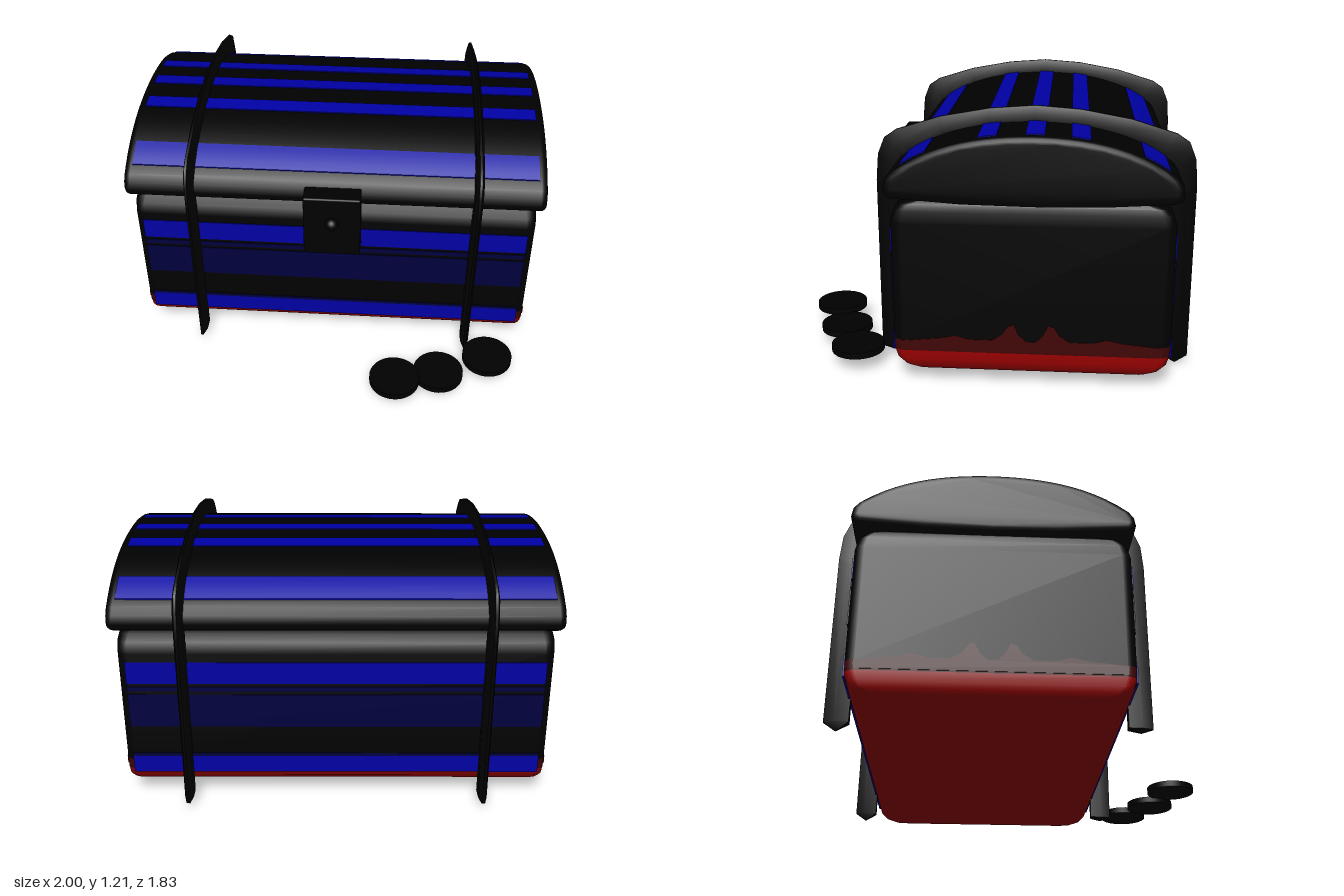
import * as THREE from 'three';
import { toCreasedNormals } from 'three/addons/utils/BufferGeometryUtils.js';
import { RoundedBoxGeometry } from 'three/addons/geometries/RoundedBoxGeometry.js';

const mat = (name, color) => new THREE.MeshStandardMaterial({ name, color });
const CZ = -0.2; // depth centre of the chest

// Stack of rounded rectangles [y, halfX, halfZ]; one material group per span of rows
function stackGeometry(rows, spans, radius) {
  const pos = [], idx = [], per = 5, n = per * 4;
  for (const [y, hx, hz] of rows) {
    for (let c = 0; c < 4; c++) {
      const sx = c === 0 || c === 3 ? 1 : -1, sz = c < 2 ? 1 : -1;
      for (let k = 0; k < per; k++) {
        const a = (c + k / (per - 1)) * Math.PI / 2;
        pos.push(sx * (hx - radius) + Math.cos(a) * radius, y, sz * (hz - radius) + Math.sin(a) * radius);
      }
    }
  }
  const g = new THREE.BufferGeometry();
  const top = rows.length - 1, bottomC = rows.length * n, topC = bottomC + 1;
  pos.push(0, rows[0][0], 0, 0, rows[top][0], 0);
  for (const [from, to, m] of spans) {
    const start = idx.length;
    if (from === 0) for (let j = 0; j < n; j++) idx.push(bottomC, j, (j + 1) % n);
    for (let i = from; i < to; i++) {
      for (let j = 0; j < n; j++) {
        const a = i * n + j, b = i * n + (j + 1) % n;
        idx.push(a, a + n, b, b, a + n, b + n);
      }
    }
    if (to === top) for (let j = 0; j < n; j++) idx.push(topC, top * n + (j + 1) % n, top * n + j);
    g.addGroup(start, idx.length - start, m);
  }
  g.setAttribute('position', new THREE.Float32BufferAttribute(pos, 3));
  g.setIndex(idx);
  return toCreasedNormals(g, 0.7);
}

// Extrudes a (depth, height) outline along x, centred
function sideExtrude(points, width, bevel = 0) {
  const g = new THREE.ExtrudeGeometry(new THREE.Shape(points.map(p => new THREE.Vector2(...p))), {
    depth: width - 2 * bevel, bevelEnabled: bevel > 0, bevelThickness: bevel,
    bevelSize: bevel, bevelOffset: -bevel, bevelSegments: 4,
  });
  g.translate(0, 0, bevel - width / 2);
  g.rotateY(-Math.PI / 2);
  return toCreasedNormals(g, 0.6);
}

// Height of the domed lid at distance u from its middle
const lidY = u => 1.14 - 0.301 * u * u - 0.463 * u ** 4;

// Strap with a tapered outer edge, swept over the chest
function strapGeometry() {
  const half = [ // inner z, y, outer z, y
    [0.405, 0.04, 0.515, 0.04], [0.405, 0.8, 0.515, 0.86], [0.4, 0.93, 0.505, 0.98],
    [0.385, 0.975, 0.475, 1.055], [0.35, 1.0, 0.42, 1.093], [0.2, 1.075, 0.22, 1.155],
    [0, 1.122, 0, 1.195], [-0.2, 1.136, -0.2, 1.21],
  ];
  const path = half.concat(half.slice(0, -1).reverse().map(([a, b, c, d]) => [2 * CZ - a, b, 2 * CZ - c, d]));
  const section = [[-0.02, 0], [-0.02, 0.55], [-0.006, 1], [0.006, 1], [0.02, 0.55], [0.02, 0]];
  const n = section.length, pos = [], idx = [];
  for (const [iz, iy, oz, oy] of path)
    for (const [x, t] of section) pos.push(x, iy + (oy - iy) * t, iz + (oz - iz) * t);
  const last = (path.length - 1) * n, tip = path.length * n;
  pos.push(0, 0.02, 0.46, 0, 0, -0.86);
  for (let i = 0; i < path.length - 1; i++) {
    for (let j = 0; j < n; j++) {
      const a = i * n + j, b = i * n + (j + 1) % n;
      idx.push(a, b, a + n, b, b + n, a + n);
    }
  }
  for (let j = 0; j < n; j++) {
    const k = (j + 1) % n;
    idx.push(tip, k, j, tip + 1, last + j, last + k);
  }
  const g = new THREE.BufferGeometry();
  g.setAttribute('position', new THREE.Float32BufferAttribute(pos, 3));
  g.setIndex(idx);
  return toCreasedNormals(g, 0.6);
}

export function createModel() {
  const model = new THREE.Group();
  const black = mat('black', 0x000000);
  const blue = mat('blue', 0x0000a4);
  const navy = mat('navy', 0x00003e);
  const red = mat('red', 0x9c0000);
  const darkRed = mat('darkRed', 0x400404);
  const strapMaterial = black.clone();
  strapMaterial.name = 'strapBlack';
  strapMaterial.side = THREE.DoubleSide;

  const add = (name, geometry, material, x = 0, y = 0, z = 0) => {
    const mesh = new THREE.Mesh(geometry, material);
    mesh.name = name;
    mesh.position.set(x, y, z);
    model.add(mesh);
    return mesh;
  };

  // Chest body with a red rounded base and a dark red edge
  const rows = [
    [0.06, 0.93, 0.46], [0.067, 0.95, 0.52], [0.085, 0.962, 0.565], [0.115, 0.968, 0.595],
    [0.158, 0.97, 0.608], [0.208, 0.97, 0.61], [0.75, 0.97, 0.61], [0.8, 0.968, 0.597],
    [0.83, 0.962, 0.57], [0.845, 0.95, 0.53],
  ];
  add('body', stackGeometry(rows, [[0, 4, 0], [4, 5, 1], [5, 9, 2]], 0.045), [red, darkRed, black], 0, 0, CZ);

  // Plank stripes on front and back
  const planks = [[0.605, 0.71, blue], [0.385, 0.55, navy], [0.565, 0.59, navy], [0.145, 0.23, blue], [0.23, 0.245, navy]];
  for (const [y0, y1, m] of planks)
    for (const s of [1, -1])
      add('plankStripe', new THREE.BoxGeometry(1.87, y1 - y0, 0.008), m, 0, (y0 + y1) / 2, CZ + s * 0.61);

  // Ragged dark red stain on both ends
  const edge = [
    [0.57, 0.205], [0.4, 0.222], [0.33, 0.237], [0.27, 0.22], [0.17, 0.22], [0.125, 0.25],
    [0.1, 0.288], [0.075, 0.297], [0.055, 0.25], [0.02, 0.217],
  ];
  const stain = [[-0.57, 0.165], [0.57, 0.165], ...edge, ...edge.map(([u, y]) => [-u, y]).reverse()];
  for (const s of [1, -1]) add('endStain', sideExtrude(stain, 0.006), darkRed, s * 0.97, 0, CZ);

  // Domed lid
  const dome = [];
  for (let i = 0; i <= 24; i++) {
    const u = 0.6 - i * 0.05;
    dome.push([u, lidY(u)]);
  }
  const lid = [[-0.6, 0.86], [-0.3, 0.84], [0, 0.835], [0.3, 0.84], [0.6, 0.86], [0.625, 0.875],
    [0.632, 0.9], [0.625, 0.94], ...dome, [-0.625, 0.94], [-0.632, 0.9], [-0.625, 0.875]];
  add('lid', sideExtrude(lid, 2, 0.03), black, 0, 0, CZ);

  // Lid stripes follow the dome
  for (const [u0, u1] of [[0.45, 0.56], [0.15, 0.23], [-0.05, 0.03], [-0.24, -0.16], [-0.57, -0.46]]) {
    const upper = [], lower = [];
    for (let i = 0; i <= 4; i++) {
      const u = u0 + (u1 - u0) * i / 4;
      lower.push([u, lidY(u) - 0.003]);
      upper.unshift([u, lidY(u) + 0.005]);
    }
    add('lidStripe', sideExtrude([...lower, ...upper], 1.92), blue, 0, 0, CZ);
  }

  // Two straps
  for (const s of [1, -1]) add(s > 0 ? 'leftStrap' : 'rightStrap', strapGeometry(), strapMaterial, s * 0.68);

  // Lock plate and knob
  add('lockPlate', new RoundedBoxGeometry(0.27, 0.325, 0.11, 2, 0.008), black, 0, 0.79, 0.455);
  add('lockKnob', new THREE.SphereGeometry(0.033, 16, 12), black, 0, 0.815, 0.518);

  // Loose coins
  for (const [x, y, z] of [[0.325, 0.095, 0.795], [0.54, 0.073, 0.72], [0.785, 0.085, 0.61]])
    add('coin', new THREE.CylinderGeometry(0.122, 0.122, 0.03, 40), black, x, y, z);

  return model;
}
